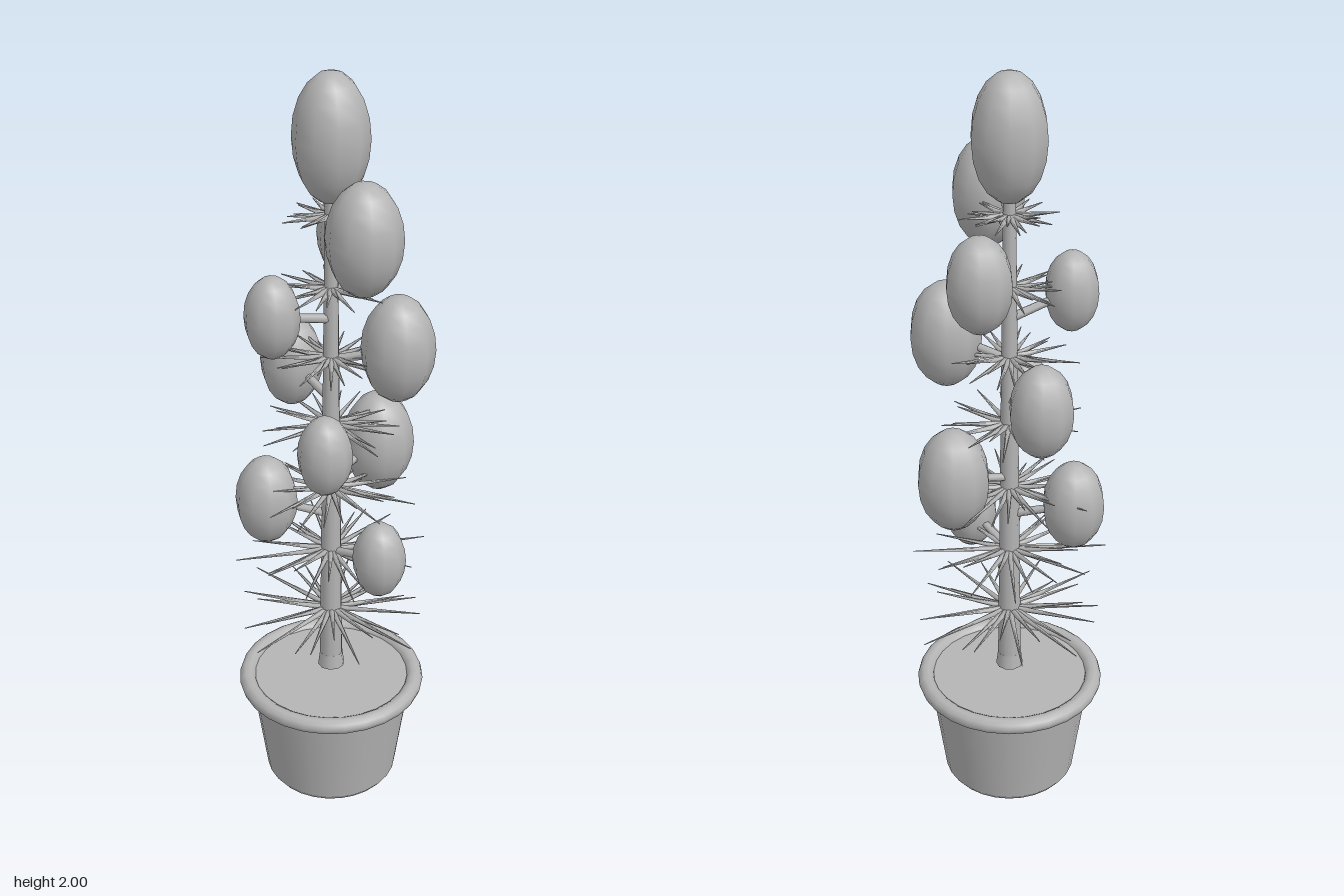
import * as THREE from 'three';

export function createModel() {
  const model = new THREE.Group();
  const clay = new THREE.MeshStandardMaterial({ color: 0xb4b4b4 });
  clay.name = 'plain grey';

  const add = (name, geometry, parent = model) => {
    const mesh = new THREE.Mesh(geometry, clay);
    mesh.name = name;
    parent.add(mesh);
    return mesh;
  };

  // Tapered rod between two points
  const up = new THREE.Vector3(0, 1, 0);
  const rod = (name, from, to, r0, r1, sides, parent) => {
    const dir = to.clone().sub(from);
    const mesh = add(name, new THREE.CylinderGeometry(r1, r0, dir.length(), sides), parent);
    mesh.position.copy(from).add(to).multiplyScalar(0.5);
    mesh.quaternion.setFromUnitVectors(up, dir.normalize());
    return mesh;
  };
  const polar = (angle, r, y) => new THREE.Vector3(Math.cos(angle) * r, y, Math.sin(angle) * r);

  // Pot: bevelled foot, sloping wall, rounded rim and soil disc
  add('potFoot', new THREE.CylinderGeometry(0.178, 0.166, 0.016, 28)).position.y = 0.008;
  add('potWall', new THREE.CylinderGeometry(0.218, 0.178, 0.284, 28, 1, true)).position.y = 0.158;
  const rim = add('potRim', new THREE.TorusGeometry(0.228, 0.0225, 10, 28));
  rim.rotation.x = -Math.PI / 2;
  rim.position.y = 0.303;
  add('soil', new THREE.CylinderGeometry(0.215, 0.215, 0.02, 28)).position.y = 0.3;

  // Trunk with a slightly wider base collar
  add('trunkCollar', new THREE.CylinderGeometry(0.031, 0.036, 0.04, 10)).position.y = 0.362;
  add('trunk', new THREE.CylinderGeometry(0.015, 0.031, 1.36, 10)).position.y = 1.05;

  // Needle whorls, each smaller and turned from the one below
  const lengths = [1, 0.72, 0.86, 0.7, 0.86, 0.72];
  const tilts = [0, 0.1, -0.08, 0.16, 0.06, -0.12];
  const count = 24;
  for (let level = 0; level < 7; level++) {
    const whorl = new THREE.Group();
    whorl.name = 'needleWhorl' + (level + 1);
    model.add(whorl);
    const y = 0.525 + level * 0.187;
    const reach = 0.28 - level * 0.0262;
    for (let i = 0; i < count; i++) {
      const angle = level * 0.6 + (i / count) * Math.PI * 2;
      const r = reach * lengths[i % 6];
      rod('needle', polar(angle, 0.012, y), polar(angle, r, y + r * tilts[i % 6]), 0.0085, 0.0012, 5, whorl);
    }
  }

  // Egg-shaped buds on short stalks, spiralling by the golden angle
  const bud = (name, position, rx, ry) => {
    const mesh = add(name, new THREE.SphereGeometry(1, 10, 10));
    mesh.scale.set(rx, ry, rx);
    mesh.position.copy(position);
  };
  const sizes = [[0.069, 0.106], [0.081, 0.122], [0.093, 0.14]];
  for (let i = 0; i < 9; i++) {
    const angle = THREE.MathUtils.degToRad(137.5 * i);
    const y = 0.752 + i * 0.112;
    const centre = polar(angle, 0.167, y);
    rod('budStalk', new THREE.Vector3(0, y - 0.045, 0), centre, 0.012, 0.01, 6);
    bud('bud', centre, ...sizes[i % 3]);
  }
  bud('topBud', new THREE.Vector3(0, 1.84, 0), 0.094, 0.16);

  return model;
}
